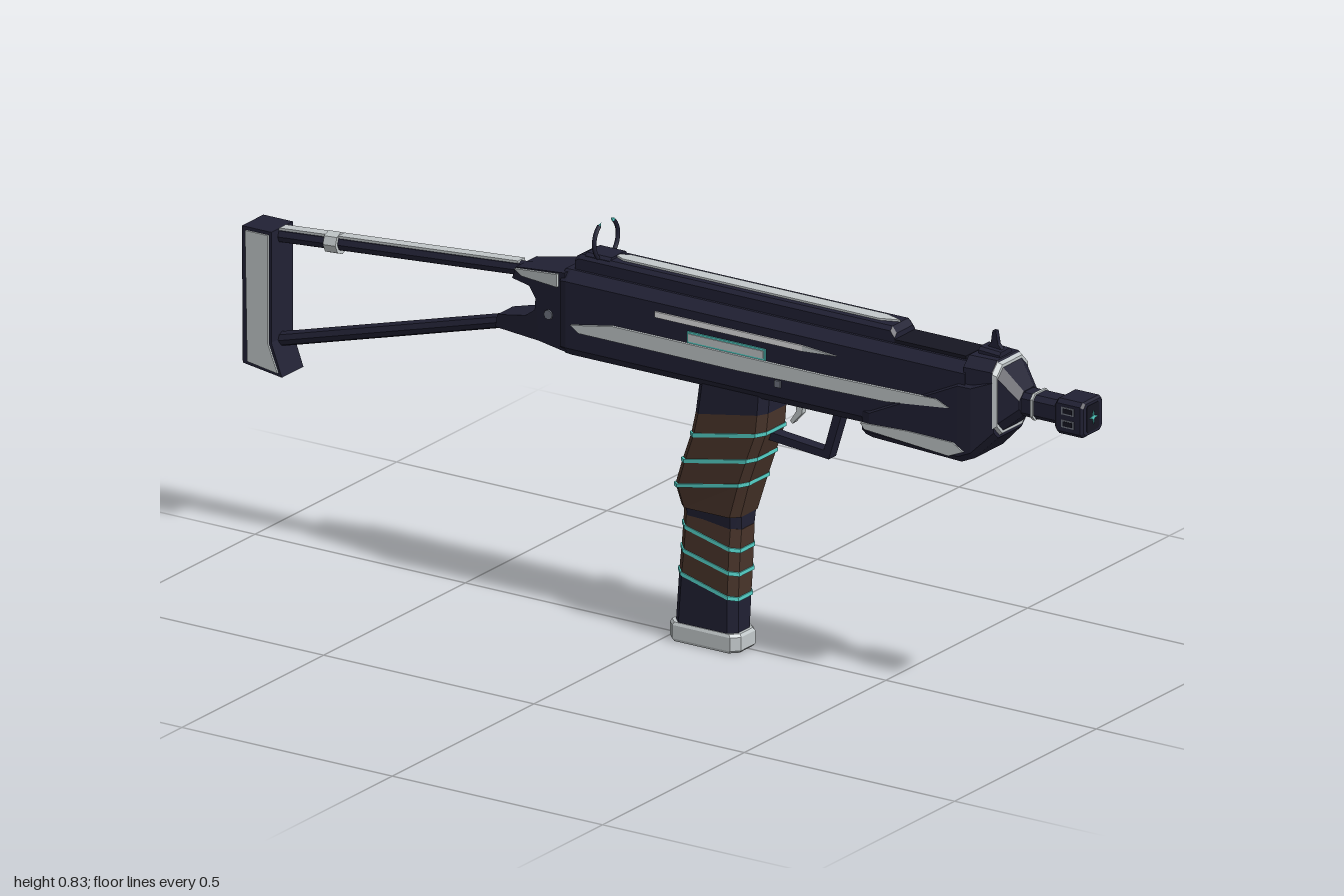
import * as THREE from 'three';

const paint = (name, color) => Object.assign(new THREE.MeshStandardMaterial({ color }), { name });

export function createModel() {
  const navy = paint('dark navy', 0x212134), deep = paint('deep navy', 0x161622);
  const pale = paint('pale grey', 0xc3c9cb), white = paint('white', 0xf2f2f4);
  const brown = paint('brown wrap', 0x4a352b), teal = paint('teal', 0x55d2c9);
  const grey = paint('mid grey', 0x6f7480);

  const root = new THREE.Group();
  root.name = 'prop';
  root.position.z = 0.008;
  const add = (name, geo, mat, x = 0, y = 0, z = 0) => {
    const m = new THREE.Mesh(geo, mat);
    m.name = name;
    m.position.set(x, y, z);
    root.add(m);
    return m;
  };
  const box = (name, mat, x0, x1, y0, y1, z0, z1) =>
    add(name, new THREE.BoxGeometry(x1 - x0, y1 - y0, z1 - z0), mat, (x0 + x1) / 2, (y0 + y1) / 2, (z0 + z1) / 2);

  // Side profile extruded across z
  const plate = (name, mat, pts, z0, z1) => {
    const shape = new THREE.Shape(pts.map(p => new THREE.Vector2(...p)));
    return add(name, new THREE.ExtrudeGeometry(shape, { depth: z1 - z0, bevelEnabled: false }), mat, 0, 0, z0);
  };
  // The same thin plate on both sides of the body
  const bothSides = (name, mat, pts, z, t = 0.006) => {
    plate(name + 'Left', mat, pts, z - 0.002, z + t);
    plate(name + 'Right', mat, pts, -z - t, -z + 0.002);
  };

  // Flat-shaded skin through matching rings, with capped ends
  const loft = (name, mat, rings) => {
    const pos = [], n = rings[0].length;
    const mid = r => r.reduce((s, p) => s.map((v, k) => v + p[k] / n), [0, 0, 0]);
    const first = rings[0], last = rings[rings.length - 1];
    for (let j = 0; j < n; j++) {
      const k = (j + 1) % n;
      for (let i = 0; i + 1 < rings.length; i++) {
        const a = rings[i][j], b = rings[i][k], c = rings[i + 1][k], d = rings[i + 1][j];
        pos.push(...a, ...b, ...c, ...a, ...c, ...d);
      }
      pos.push(...mid(first), ...first[k], ...first[j], ...mid(last), ...last[j], ...last[k]);
    }
    const g = new THREE.BufferGeometry();
    g.setAttribute('position', new THREE.Float32BufferAttribute(pos, 3));
    g.computeVertexNormals();
    return add(name, g, mat);
  };
  // Chamfered rectangle, counter-clockwise
  const oct = (a, b, c) => [[a, -b + c], [a, b - c], [a - c, b], [-a + c, b], [-a, b - c], [-a, -b + c], [-a + c, -b], [a - c, -b]];
  // Lengthwise solid; each section is [x, bottom, top, halfWidth]
  const hull = (name, mat, sections, c = 0.015) => loft(name, mat, sections.map(([x, b, t, hz]) =>
    oct((t - b) / 2, hz, Math.min(c, (t - b) / 3)).map(([u, v]) => [x, (t + b) / 2 + u, v])));
  // Upright solid; each section is [rearX, rearY, frontX, frontY, halfWidth]
  const column = (name, mat, rows) => loft(name, mat, rows.map(([x0, y0, x1, y1, hz]) => {
    const h = (x1 - x0) / 2;
    return oct(hz, h, 0.016).map(([z, u]) => {
      const t = (u / h + 1) / 2;
      return [x0 + (x1 - x0) * t, y0 + (y1 - y0) * t, z];
    });
  }));
  const rod = (name, mat, a, b, r, sides = 8) => {
    const A = new THREE.Vector3(...a), B = new THREE.Vector3(...b);
    const g = new THREE.CylinderGeometry(r, r, A.distanceTo(B), sides).toNonIndexed();
    g.computeVertexNormals();
    const m = add(name, g, mat);
    m.position.copy(A).lerp(B, 0.5);
    m.quaternion.setFromUnitVectors(new THREE.Vector3(0, 1, 0), B.sub(A).normalize());
    return m;
  };

  // Main body and top rail
  hull('body', navy, [[-0.23, 0.553, 0.73, 0.059], [-0.215, 0.553, 0.732, 0.062], [0.735, 0.553, 0.732, 0.062]], 0.02);
  hull('topRail', navy, [[-0.21, 0.72, 0.757, 0.036], [-0.2, 0.72, 0.763, 0.036], [0.54, 0.72, 0.763, 0.036], [0.55, 0.72, 0.75, 0.036]], 0.008);
  plateTop('railInlay', [[-0.14, 0], [-0.11, 0.015], [0.5, 0.015], [0.54, 0], [0.5, -0.015], [-0.11, -0.015]], 0.762);
  box('frontTopCover', deep, 0.55, 0.72, 0.725, 0.739, -0.036, 0.036);
  function plateTop(name, pts, y) {
    const m = plate(name, pale, pts, 0, 0.005);
    m.rotation.x = -Math.PI / 2;
    m.position.y = y;
  }

  // Nose and lower fore-end
  hull('foreEnd', navy, [[0.49, 0.532, 0.6, 0.062], [0.51, 0.53, 0.6, 0.066], [0.72, 0.522, 0.7, 0.066], [0.75, 0.535, 0.7, 0.065], [0.8, 0.585, 0.72, 0.057]]);
  hull('nose', navy, [[0.73, 0.6, 0.745, 0.06], [0.795, 0.59, 0.745, 0.057], [0.845, 0.635, 0.685, 0.034]], 0.02);
  hull('noseRing', pale, [[0.797, 0.588, 0.742, 0.058], [0.806, 0.594, 0.738, 0.055]], 0.02);
  bothSides('foreEndInlay', pale, [[0.49, 0.562], [0.5, 0.55], [0.7, 0.535], [0.735, 0.55], [0.71, 0.565], [0.6, 0.567]], 0.065, 0.004);

  // Barrel and muzzle
  hull('barrel', navy, [[0.83, 0.633, 0.683, 0.027], [0.94, 0.633, 0.683, 0.027]], 0.01);
  hull('barrelRing', pale, [[0.868, 0.63, 0.686, 0.03], [0.874, 0.63, 0.686, 0.03]], 0.01);
  hull('muzzle', navy, [[0.93, 0.626, 0.688, 0.033], [0.937, 0.62, 0.694, 0.037], [0.992, 0.62, 0.694, 0.037], [0.997, 0.624, 0.69, 0.033]], 0.008);
  hull('muzzleRecess', deep, [[0.99, 0.629, 0.685, 0.022], [0.998, 0.629, 0.685, 0.022]], 0.004);
  for (const y of [0.64, 0.667]) {
    bothSides('muzzleVentFrame', grey, [[0.947, y - 0.003], [0.977, y - 0.003], [0.977, y + 0.013], [0.947, y + 0.013]], 0.036, 0.002);
    bothSides('muzzleVent', deep, [[0.951, y], [0.973, y], [0.973, y + 0.01], [0.951, y + 0.01]], 0.036, 0.003);
  }
  const star = [];
  for (let i = 0; i < 8; i++) {
    const r = i % 2 ? 0.004 : 0.014, a = i * Math.PI / 4;
    star.push([r * Math.cos(a), r * Math.sin(a)]);
  }
  const gem = plate('muzzleStar', teal, star, 0, 0.002);
  gem.rotation.y = Math.PI / 2;
  gem.position.set(0.998, 0.657, 0);

  // Side inlays
  bothSides('longInlay', pale, [[-0.2, 0.625], [-0.18, 0.612], [0.2, 0.611], [0.55, 0.618], [0.7, 0.635], [0.67, 0.648], [0.4, 0.643], [-0.1, 0.643]], 0.062);
  bothSides('upperInlay', white, [[0, 0.682], [0.35, 0.682], [0.35, 0.694], [0, 0.694]], 0.062, 0.004);
  bothSides('upperInlayTip', pale, [[0.35, 0.682], [0.43, 0.688], [0.35, 0.694]], 0.062, 0.004);
  bothSides('selectorFrame', teal, [[0.076, 0.644], [0.262, 0.644], [0.262, 0.668], [0.076, 0.668]], 0.062, 0.003);
  bothSides('selector', pale, [[0.08, 0.648], [0.258, 0.648], [0.258, 0.664], [0.08, 0.664]], 0.062, 0.005);
  bothSides('pin', grey, [[0.284, 0.594], [0.298, 0.594], [0.298, 0.608], [0.284, 0.608]], 0.062, 0.004);

  // Side handle
  rod('handleStem', grey, [0.3, 0.69, -0.055], [0.3, 0.69, -0.07], 0.01);
  const knob = add('handle', new THREE.SphereGeometry(1, 10, 6), pale, 0.3, 0.69, -0.072);
  knob.scale.set(0.032, 0.012, 0.011);
  box('sideCatch', deep, 0.11, 0.18, 0.59, 0.605, -0.07, -0.06);

  // Rear horned sight and front post
  hull('rearSightBase', navy, [[-0.19, 0.745, 0.768, 0.03], [-0.13, 0.745, 0.768, 0.03]], 0.006);
  const gap = 0.62, R = 0.042;
  const horns = add('rearSightHorns', new THREE.TorusGeometry(R, 0.0045, 6, 32, Math.PI * 2 - gap * 2), navy, -0.16, 0.794, 0);
  horns.rotation.set(0, Math.PI / 2, Math.PI / 2 + gap);
  for (const s of [-1, 1]) {
    const tip = add('hornTip', new THREE.ConeGeometry(0.0045, 0.012, 6), teal, -0.16, 0.794 + R * Math.cos(gap - 0.08), s * R * Math.sin(gap - 0.08));
    tip.rotation.x = -s * 0.95;
  }
  hull('frontSightBase', navy, [[0.74, 0.735, 0.758, 0.022], [0.79, 0.735, 0.755, 0.022]], 0.006);
  plate('frontSightPost', navy, [[0.745, 0.75], [0.788, 0.75], [0.775, 0.765], [0.77, 0.792], [0.762, 0.792], [0.758, 0.765]], -0.005, 0.005);

  // Grip wraps with slanted bands, wedge neck and long lower part
  const upper = [[0.075, 0.49, 0.247, 0.52, 0.048], [0.065, 0.443, 0.243, 0.478, 0.049], [0.045, 0.385, 0.222, 0.42, 0.05],
    [0.028, 0.33, 0.203, 0.365, 0.05], [0.04, 0.288, 0.18, 0.288, 0.046]];
  const lower = [[0.042, 0.285, 0.178, 0.26, 0.039], [0.04, 0.25, 0.175, 0.215, 0.04], [0.036, 0.2, 0.173, 0.165, 0.04], [0.03, 0.15, 0.17, 0.112, 0.039]];
  column('gripNeck', navy, [upper[0], [0.085, 0.565, 0.25, 0.565, 0.047]]);
  column('upperWrap', brown, [...upper].reverse());
  column('gripWaist', navy, [[0.042, 0.255, 0.176, 0.24, 0.037], [0.044, 0.3, 0.18, 0.3, 0.043]]);
  column('lowerWrap', brown, [...lower].reverse());
  column('gripBottom', navy, [[0.02, 0.038, 0.168, 0.038, 0.036], lower[3]]);
  for (const [x0, y0, x1, y1, hz] of [...upper.slice(1, 4), ...lower.slice(1)]) {
    const row = d => [x0 - 0.002, y0 + d, x1 + 0.002, y1 + d, hz + 0.002];
    column('gripBand', teal, [row(-0.004), row(0.004)]);
  }
  column('gripCap', pale, [[0.012, 0, 0.172, 0, 0.038], [0.009, 0.006, 0.178, 0.006, 0.041], [0.009, 0.034, 0.178, 0.034, 0.041], [0.012, 0.04, 0.174, 0.04, 0.038]]);

  // Trigger and guard
  plate('triggerGuard', navy, [[0.23, 0.475], [0.235, 0.457], [0.378, 0.445], [0.412, 0.555], [0.393, 0.555], [0.366, 0.462]], -0.013, 0.013);
  rod('guardInlay', grey, [0.25, 0.457, 0], [0.365, 0.447, 0], 0.006, 6);
  plate('trigger', pale, [[0.295, 0.56], [0.315, 0.56], [0.31, 0.525], [0.288, 0.5], [0.282, 0.505], [0.297, 0.528]], -0.007, 0.007);

  // Forked rear bracket, narrowing toward the back
  const bracket = plate('stockBracket', navy, [[-0.22, 0.727], [-0.35, 0.708], [-0.36, 0.682], [-0.315, 0.677], [-0.298, 0.655],
    [-0.3, 0.63], [-0.325, 0.612], [-0.4, 0.595], [-0.405, 0.568], [-0.29, 0.568], [-0.22, 0.562]], -0.5, 0.5);
  const p = bracket.geometry.attributes.position;
  for (let i = 0; i < p.count; i++) {
    const half = THREE.MathUtils.clamp(0.028 + (p.getX(i) + 0.4) * 0.16, 0.027, 0.056);
    p.setZ(i, (p.getZ(i) - 0.5) * 2 * half);
  }
  bracket.position.z = 0;
  bracket.geometry.computeVertexNormals();
  for (const s of [-1, 1]) {
    const tab = plate('bracketInlay', pale, [[-0.35, 0.706], [-0.33, 0.695], [-0.235, 0.695], [-0.235, 0.722]], -0.003, 0.003);
    tab.rotation.y = -s * 0.158;
    tab.position.set(-0.004, 0, s * 0.0915);
    rod('bracketPin', grey, [-0.262, 0.63, s * 0.04], [-0.262, 0.63, s * 0.054], 0.01);
  }

  // Folding stock struts, clamp and butt
  rod('upperStrut', navy, [-0.33, 0.695, 0], [-0.95, 0.644, 0], 0.016);
  rod('lowerStrut', navy, [-0.37, 0.583, 0], [-0.95, 0.422, 0], 0.015);
  const strip = add('strutInlay', new THREE.BoxGeometry(0.57, 0.005, 0.024), pale, -0.645, 0.6845, 0);
  strip.rotation.z = Math.atan2(0.051, 0.62);
  rod('strutClamp', pale, [-0.788, 0.657, 0], [-0.818, 0.655, 0], 0.023);
  plate('butt', navy, [[-1, 0.662], [-0.93, 0.662], [-0.93, 0.43], [-0.905, 0.362], [-0.998, 0.375]], -0.038, 0.038);
  bothSides('buttInlay', pale, [[-0.99, 0.655], [-0.936, 0.655], [-0.936, 0.428], [-0.913, 0.37], [-0.985, 0.381]], 0.038, 0.004);

  return root;
}
